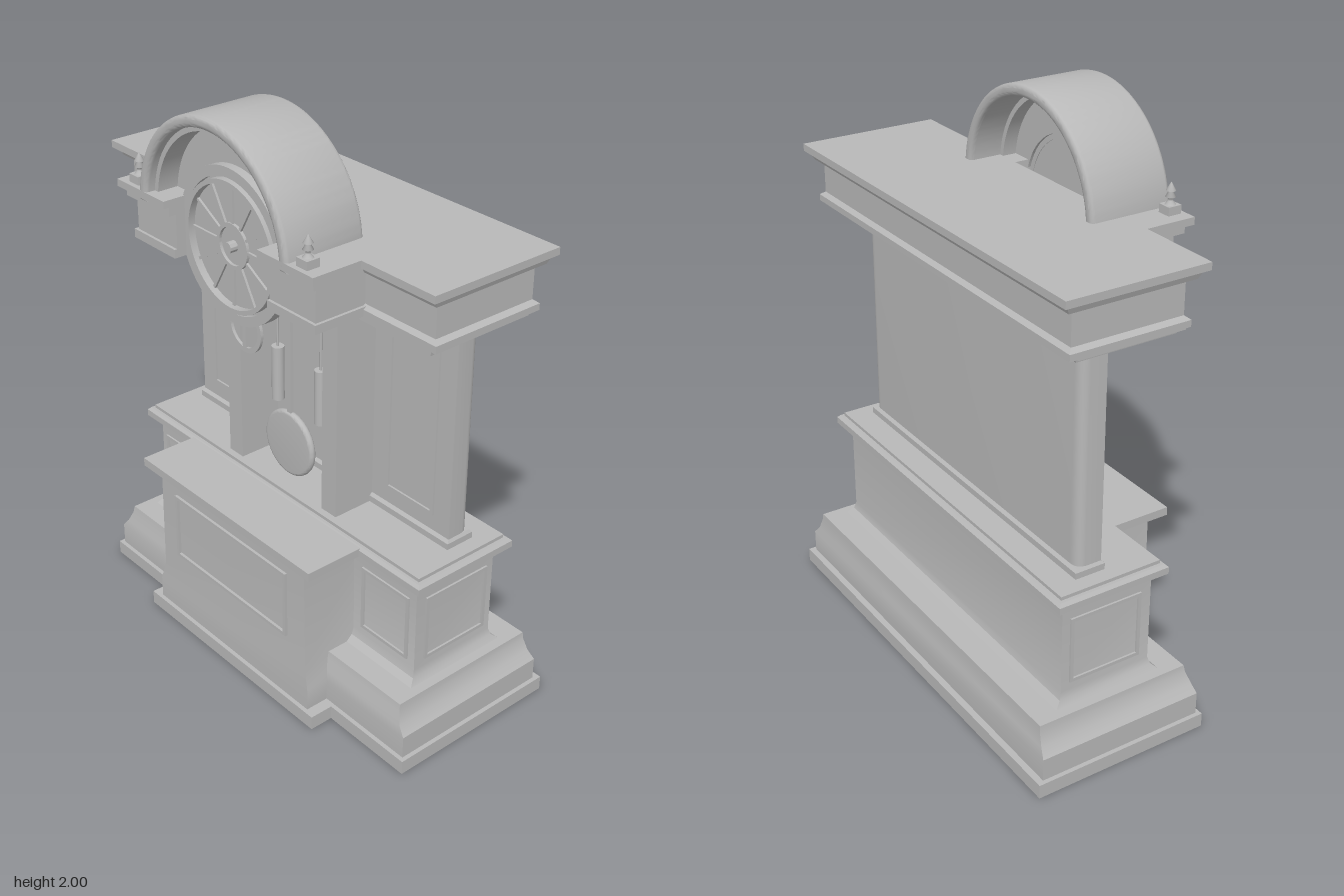
import * as THREE from 'three';
import { toCreasedNormals } from 'three/addons/utils/BufferGeometryUtils.js';

const stone = new THREE.MeshStandardMaterial({ color: 0xb8b8b8, side: THREE.DoubleSide });
stone.name = 'grey stone';

export function createModel() {
  const model = new THREE.Group();
  model.name = 'mantelClock';

  const add = (name, geo, parent = model) => {
    const m = new THREE.Mesh(geo, stone);
    m.name = name;
    parent.add(m);
    return m;
  };
  // Box given by its limits
  const box = (name, x0, x1, y0, y1, z0, z1, parent) =>
    add(name, new THREE.BoxGeometry(x1 - x0, y1 - y0, z1 - z0)
      .translate((x0 + x1) / 2, (y0 + y1) / 2, (z0 + z1) / 2), parent);

  // Stacked rectangular rings [x0, x1, halfDepth, y], closed on top
  const loft = (name, levels, bottom = true) => {
    const pos = [];
    const rings = levels.map(([a, b, z, y]) => [[a, y, z], [b, y, z], [b, y, -z], [a, y, -z]]);
    const quad = (a, b, c, d) => pos.push(...a, ...b, ...c, ...a, ...c, ...d);
    for (let i = 0; i + 1 < rings.length; i++) {
      for (let k = 0; k < 4; k++) {
        const n = (k + 1) % 4;
        quad(rings[i][k], rings[i][n], rings[i + 1][n], rings[i + 1][k]);
      }
    }
    quad(...rings[rings.length - 1]);
    if (bottom) quad(...[...rings[0]].reverse());
    const g = new THREE.BufferGeometry();
    g.setAttribute('position', new THREE.Float32BufferAttribute(pos, 3));
    g.computeVertexNormals();
    return add(name, toCreasedNormals(g, 0.5));
  };

  // Shape drawn in the z-y plane, extruded from x0 to x1
  const slab = (name, shape, x0, x1, bevel = 0) => {
    const g = new THREE.ExtrudeGeometry(shape, {
      depth: x1 - x0 - 2 * bevel, curveSegments: 40, bevelEnabled: bevel > 0,
      bevelSize: bevel, bevelThickness: bevel, bevelOffset: -bevel, bevelSegments: 3,
    });
    g.rotateY(Math.PI / 2).translate(x0 + bevel, 0, 0);
    return add(name, toCreasedNormals(g, 0.6));
  };
  const ring = (y, outer, inner) => {
    const s = new THREE.Shape().absarc(0, y, outer, 0, Math.PI * 2);
    if (inner) s.holes.push(new THREE.Path().absarc(0, y, inner, 0, Math.PI * 2, true));
    return s;
  };

  // Rectangular raised frame; u runs along z on x-facing walls, along x on z-facing walls
  const frame = (name, axis, at, u0, u1, y0, y1) => {
    const g = new THREE.Group();
    g.name = name;
    const w = 0.012, t = 0.007;
    const bars = [[u0, u1, y0, y0 + w], [u0, u1, y1 - w, y1], [u0, u0 + w, y0, y1], [u1 - w, u1, y0, y1]];
    for (const [a, b, c, d] of bars) {
      if (axis === 'x') box('frameBar', at - t, at + t, c, d, a, b, g);
      else box('frameBar', a, b, c, d, at - t, at + t, g);
    }
    model.add(g);
  };

  // Hollow plinth, base moulding and pedestal
  loft('pedestal', [
    [-0.27, 0.375, 0.795, 0], [-0.27, 0.375, 0.795, 0.05], [-0.255, 0.352, 0.78, 0.05],
    [-0.255, 0.352, 0.78, 0.13], [-0.248, 0.343, 0.755, 0.16], [-0.235, 0.337, 0.738, 0.2],
    [-0.23, 0.335, 0.735, 0.225], [-0.15, 0.25, 0.70, 0.225], [-0.128, 0.228, 0.686, 0.245],
    [-0.12, 0.22, 0.68, 0.27], [-0.12, 0.22, 0.68, 0.6],
  ], false);
  loft('pedestalCap', [
    [-0.145, 0.25, 0.71, 0.594], [-0.155, 0.26, 0.722, 0.604], [-0.155, 0.26, 0.722, 0.628],
    [-0.145, 0.25, 0.712, 0.638], [-0.135, 0.24, 0.7, 0.638], [-0.135, 0.24, 0.7, 0.65],
  ]);

  // Projecting centre pedestal
  loft('centrePedestal', [
    [-0.355, -0.1, 0.45, 0], [-0.355, -0.1, 0.45, 0.05], [-0.34, -0.1, 0.41, 0.05],
    [-0.34, -0.1, 0.41, 0.13], [-0.333, -0.1, 0.39, 0.2], [-0.333, -0.1, 0.385, 0.6],
  ], false);
  loft('centrePedestalCap', [
    [-0.355, -0.1, 0.43, 0.594], [-0.365, -0.1, 0.445, 0.604], [-0.365, -0.1, 0.445, 0.634],
  ]);
  frame('centrePanel', 'x', -0.336, -0.3, 0.3, 0.29, 0.54);

  // Rear wall with rounded rear corners
  const plan = new THREE.Shape();
  plan.moveTo(0.05, -0.64).lineTo(0.1, -0.64).quadraticCurveTo(0.14, -0.64, 0.14, -0.6)
    .lineTo(0.14, 0.6).quadraticCurveTo(0.14, 0.64, 0.1, 0.64).lineTo(0.05, 0.64).closePath();
  const wall = new THREE.ExtrudeGeometry(plan, { depth: 0.8, bevelEnabled: false, curveSegments: 8 });
  add('rearWall', toCreasedNormals(wall.rotateX(-Math.PI / 2).translate(0, 0.645, 0), 0.6));
  loft('wallBase', [[0.04, 0.15, 0.647, 0.648], [0.04, 0.15, 0.647, 0.672], [0.05, 0.14, 0.64, 0.682]]);
  loft('wallCapital', [[0.045, 0.143, 0.642, 1.4], [0.035, 0.145, 0.66, 1.412],
    [0.035, 0.145, 0.66, 1.425], [0.025, 0.15, 0.667, 1.44]]);

  // Entablature and cornice
  loft('entablature', [
    [-0.14, 0.215, 0.712, 1.437], [-0.14, 0.225, 0.715, 1.458], [-0.15, 0.23, 0.742, 1.458],
    [-0.15, 0.23, 0.742, 1.468], [-0.16, 0.265, 0.752, 1.468], [-0.16, 0.265, 0.752, 1.49],
    [-0.145, 0.25, 0.735, 1.502], [-0.145, 0.25, 0.735, 1.61], [-0.17, 0.275, 0.757, 1.617],
    [-0.18, 0.285, 0.765, 1.638], [-0.2, 0.302, 0.78, 1.645], [-0.2, 0.302, 0.78, 1.67],
  ]);

  for (const s of [-1, 1]) {
    const zbox = (name, x0, x1, y0, y1, a, b) =>
      box(name, x0, x1, y0, y1, Math.min(s * a, s * b), Math.max(s * a, s * b));
    // Panels on the wings and pedestal
    frame('endPanel', 'z', s * 0.68, -0.08, 0.19, 0.3, 0.54);
    const span = (a, b) => (s > 0 ? [a, b] : [-b, -a]);
    frame('wingPedestalPanel', 'x', -0.12, ...span(0.43, 0.65), 0.3, 0.54);
    frame('wingPanel', 'x', 0.05, ...span(0.35, 0.57), 0.74, 1.36);
    // Pilasters of the pendulum case
    zbox('casePilaster', -0.11, 0.06, 0.645, 1.44, 0.21, 0.28);
    // Projecting entablature beside the dial
    zbox('bracketMoulding', -0.345, -0.14, 1.468, 1.498, 0.23, 0.45);
    zbox('bracketBlock', -0.335, -0.14, 1.498, 1.615, 0.23, 0.44);
    zbox('bracketBed', -0.36, -0.14, 1.615, 1.645, 0.23, 0.46);
    zbox('bracketCap', -0.38, -0.14, 1.645, 1.67, 0.23, 0.48);
    // Finials
    zbox('finialBase', -0.363, -0.315, 1.67, 1.698, 0.387, 0.435);
    const finial = [[0.02, 1.695], [0.008, 1.71], [0.008, 1.718], [0.017, 1.722],
      [0.008, 1.738], [0.016, 1.742], [0, 1.77]].map(p => new THREE.Vector2(...p));
    add('finial', new THREE.LatheGeometry(finial, 16)).position.set(-0.339, 0, s * 0.411);
    // Hanging weights
    add('weight', new THREE.CylinderGeometry(0.022, 0.022, 0.2, 16)).position.set(-0.03, 1.0, s * 0.11);
    add('weightCord', new THREE.CylinderGeometry(0.004, 0.004, 0.36, 8)).position.set(-0.03, 1.27, s * 0.11);
  }

  // Arched hood
  const hood = new THREE.Shape();
  hood.absarc(0, 1.635, 0.365, 0, Math.PI).absarc(0, 1.635, 0.325, Math.PI, 0, true);
  slab('archedHood', hood, -0.38, -0.083, 0.014);
  const trim = new THREE.Shape();
  trim.absarc(0, 1.635, 0.335, 0, Math.PI).absarc(0, 1.635, 0.308, Math.PI, 0, true);
  slab('hoodTrim', trim, -0.345, -0.2);
  // Wall inside the hood, cut out around the dial
  const tympanum = new THREE.Shape();
  tympanum.absarc(0, 1.635, 0.33, 0, Math.PI);
  const half = Math.asin(0.06 / 0.24);
  tympanum.lineTo(-0.24 * Math.cos(half), 1.635);
  tympanum.absarc(0, 1.575, 0.24, Math.PI - half, half, true);
  slab('tympanum', tympanum, -0.27, -0.25);

  // Dial
  const cy = 1.575;
  slab('dialRim', ring(cy, 0.255, 0.222), -0.3, -0.26);
  slab('dialBead', ring(cy, 0.215, 0.2), -0.31, -0.275);
  slab('dialPlate', ring(cy, 0.235), -0.285, -0.262);
  slab('dialInnerRing', ring(cy, 0.075, 0.062), -0.295, -0.28);
  slab('dialHub', ring(cy, 0.018), -0.312, -0.28);
  for (let i = 0; i < 12; i++) {
    const g = new THREE.BoxGeometry(0.01, 0.135, 0.01).translate(0, 0.137, 0);
    const bar = add('hourBar', g);
    bar.position.set(-0.288, cy, 0);
    bar.rotation.x = i * Math.PI / 6;
  }

  // Small lower ring on its stem
  slab('lowerRing', ring(1.285, 0.085, 0.068), -0.255, -0.245);
  box('lowerRingStem', -0.255, -0.245, 1.21, 1.47, -0.008, 0.008);

  // Pendulum
  box('pendulumRod', -0.075, -0.063, 0.78, 1.44, -0.01, 0.01);
  slab('pendulumBob', ring(0.79, 0.12), -0.08, -0.055, 0.01);

  return model;
}
